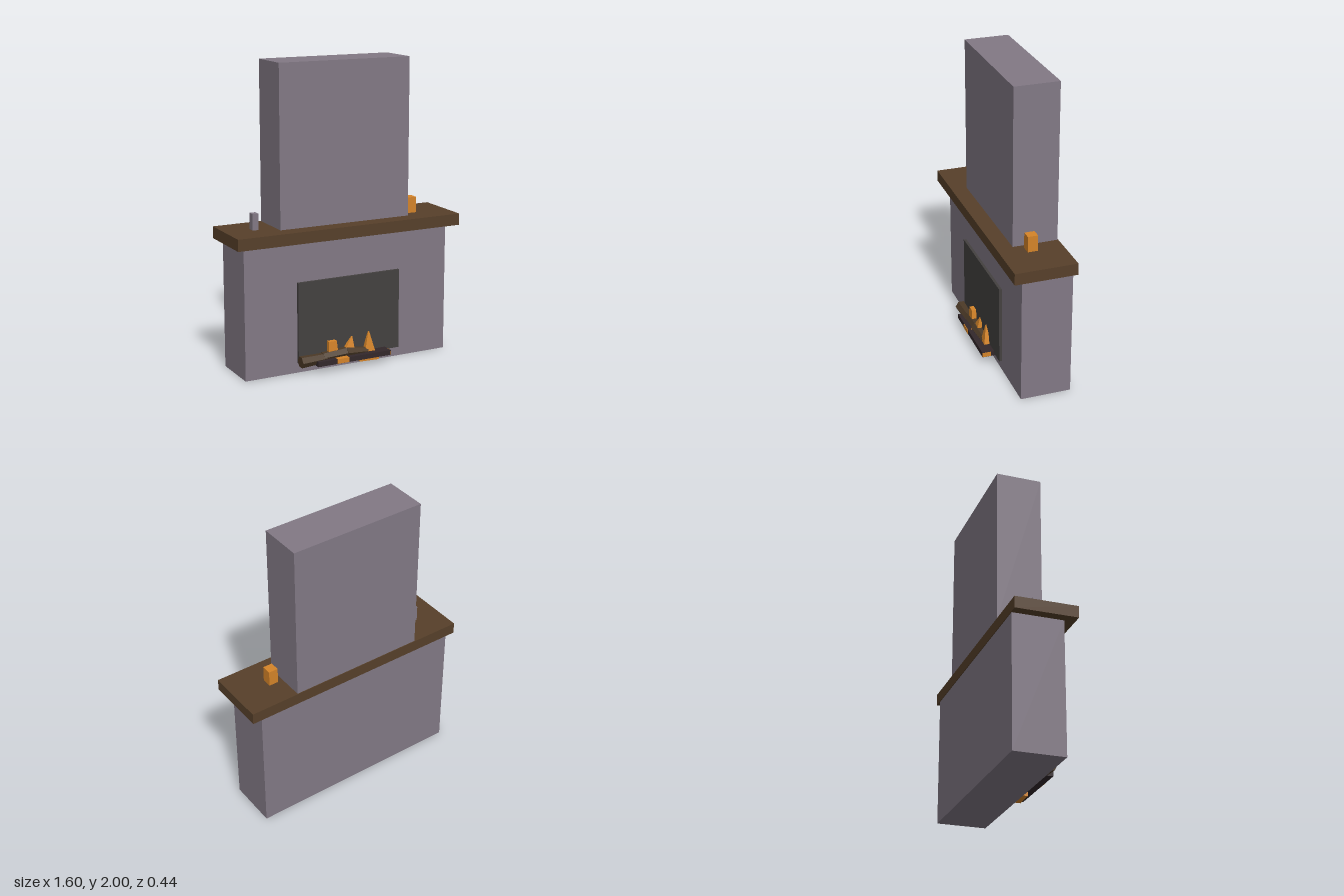
import * as THREE from 'three';

const paint = (name, color) => {
  const m = new THREE.MeshStandardMaterial({ color });
  m.name = name;
  return m;
};

export function createModel() {
  const root = new THREE.Group();
  root.name = 'fireplace';
  const stone = paint('grey stone', 0x827985);
  const wood = paint('mantel wood', 0x57402a);
  const soot = paint('soot', 0x444140);
  const iron = paint('dark iron', 0x33282b);
  const bark = paint('bark', 0x4c3a27);
  const orange = paint('ember orange', 0xd58429);

  const add = (name, geometry, material) => {
    const mesh = new THREE.Mesh(geometry, material);
    mesh.name = name;
    root.add(mesh);
    return mesh;
  };
  // Box given by its lower and upper limits on each axis
  const box = (name, material, [x0, x1], [y0, y1], [z0, z1]) => {
    const mesh = add(name, new THREE.BoxGeometry(x1 - x0, y1 - y0, z1 - z0), material);
    mesh.position.set((x0 + x1) / 2, (y0 + y1) / 2, (z0 + z1) / 2);
    return mesh;
  };

  // Masonry and mantel
  box('hearthBody', stone, [-0.735, 0.735], [0, 0.875], [-0.215, 0.12]);
  box('mantelShelf', wood, [-0.8, 0.8], [0.87, 0.947], [-0.22, 0.19]);
  box('chimneyBreast', stone, [-0.465, 0.465], [0.947, 2], [-0.215, 0.083]);
  box('fireboxPanel', soot, [-0.37, 0.37], [0.065, 0.603], [0.11, 0.138]);

  // Ornaments on the shelf
  box('greyOrnament', stone, [-0.623, -0.582], [0.947, 1.053], [-0.04, 0.008]);
  box('orangeOrnament', orange, [0.5, 0.564], [0.947, 1.053], [-0.047, 0.02]);

  // Fire grate with glowing coals
  box('grate', iron, [-0.268, 0.266], [0.05, 0.083], [0.13, 0.218]);
  box('grateEndGlow', orange, [0.266, 0.268], [0.052, 0.083], [0.16, 0.218]);
  box('frontCoal', orange, [-0.13, -0.045], [0.052, 0.083], [0.16, 0.222]);
  const coal = box('lowCoal', orange, [0.06, 0.2], [0.02, 0.055], [0.12, 0.175]);
  coal.rotation.z = -0.03;

  // Logs: six-sided, each laid between two end points
  const logs = [
    [[-0.37, 0.083, 0.165], [-0.19, 0.087, 0.16], 0.04, 0.033],
    [[-0.21, 0.092, 0.16], [-0.03, 0.1, 0.155], 0.032, 0.036],
    [[-0.04, 0.1, 0.16], [0.12, 0.085, 0.152], 0.037, 0.027],
  ];
  for (const [a, b, ra, rb] of logs) {
    const start = new THREE.Vector3(...a), end = new THREE.Vector3(...b);
    const dir = end.clone().sub(start);
    const geometry = new THREE.CylinderGeometry(rb, ra, dir.length(), 6).toNonIndexed();
    geometry.computeVertexNormals();
    const log = add('log', geometry, bark);
    log.position.copy(start).add(end).multiplyScalar(0.5);
    log.quaternion.setFromUnitVectors(new THREE.Vector3(0, 1, 0), dir.normalize());
  }

  // Flames: four-sided tapers whose tops lean sideways
  const flames = [
    // x, base y, top y, base width, top width, lean
    [-0.135, 0.12, 0.19, 0.066, 0.056, -0.003],
    [-0.015, 0.115, 0.2, 0.07, 0.005, 0.025],
    [0.135, 0.08, 0.215, 0.075, 0.006, 0],
  ];
  for (const [x, y0, y1, w0, w1, lean] of flames) {
    let g = new THREE.CylinderGeometry(w1 / Math.SQRT2, w0 / Math.SQRT2, y1 - y0, 4);
    g.rotateY(Math.PI / 4);
    g.scale(1, 1, 0.65);
    const p = g.attributes.position;
    for (let i = 0; i < p.count; i++) if (p.getY(i) > 0) p.setX(i, p.getX(i) + lean);
    g = g.toNonIndexed();
    g.computeVertexNormals();
    add('flame', g, orange).position.set(x, (y0 + y1) / 2, 0.15);
  }
  return root;
}
